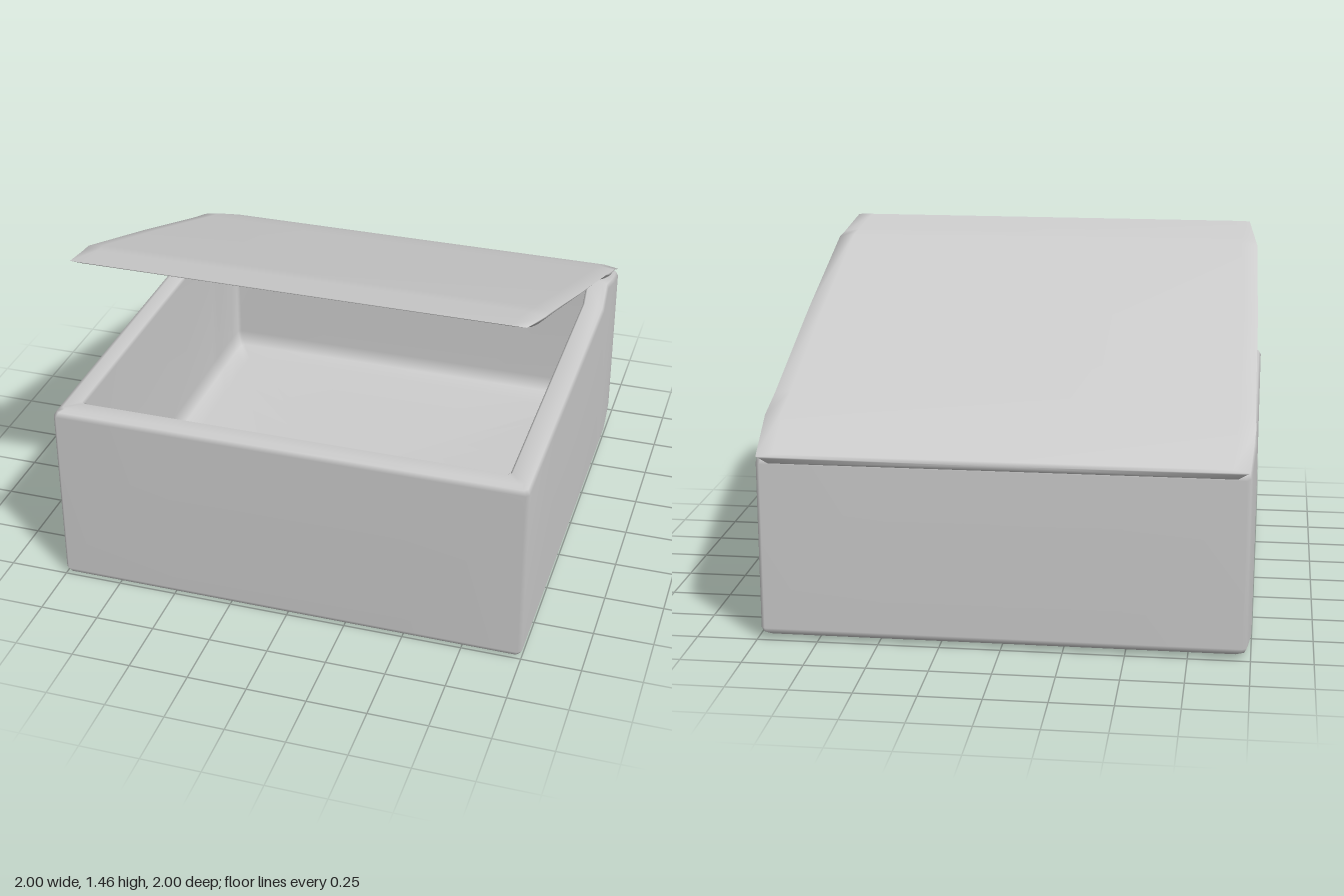
import * as THREE from 'three';

// Skins a stack of closed rings with smooth normals
function loft(rings) {
  const n = rings[0].length, index = [];
  for (let k = 0; k < rings.length - 1; k++) {
    for (let i = 0; i < n; i++) {
      const a = k * n + i, b = k * n + (i + 1) % n;
      index.push(a, b, b + n, a, b + n, a + n);
    }
  }
  const geo = new THREE.BufferGeometry();
  geo.setAttribute('position', new THREE.Float32BufferAttribute(rings.flat(2), 3));
  geo.setIndex(index);
  geo.computeVertexNormals();
  return geo;
}

// Plan of the box: a square with tiny corner chamfers
function squarePlan() {
  const zs = [0.985, 0.5, 0, -0.54, -0.62, -0.77, -0.9, -0.985];
  const xs = [0.985, 0.5, 0, -0.5, -0.985];
  return [
    ...zs.map(z => [1, z]),
    ...xs.map(x => [x, -1]),
    ...[...zs].reverse().map(z => [-1, z]),
    ...[...xs].reverse().map(x => [x, 1]),
  ];
}

// Rim climbs near the hinge to meet the lid, then falls to the back edge
function rimRise(z) {
  return z > -0.54 ? 0 : Math.min(-0.54 - z, 0.08 - 0.33 * (-0.62 - z));
}

function bodyRing(h, y) {
  return squarePlan().map(([px, pz]) => {
    let x = px * h, py = y;
    const z = Math.abs(pz) < 0.8 && h > 0.85 ? pz : pz * h;
    const s = Math.max(0, (-z - 0.8) / 0.2);
    x *= 1 - 0.018 * s;               // back narrows slightly
    if (y > 0.7) py += rimRise(z);
    if (y < 0.05) py += 0.02 * s;     // rounded lower back edge
    return [x, py, z];
  });
}

// Lid cross-section: flat top, undercut sides, shallow recess below
function lidRing([z, top, bot, w, recess]) {
  const half = [
    [0.9 * w, bot + recess], [0.95 * w, bot],
    [w - 0.015, (top + bot) / 2], [w, top - Math.min(0.012, (top - bot) / 3)],
    [0.93 * w, top],
  ];
  const right = half.map(([x, y]) => [x, y, z]);
  const left = [...half].reverse().map(([x, y]) => [-x, y, z]);
  return [...right, [0, top, z], ...left];
}

export function createModel() {
  const model = new THREE.Group();
  const material = new THREE.MeshStandardMaterial({ color: 0xcccccc });
  const add = (name, geo) => {
    const mesh = new THREE.Mesh(geo, material);
    mesh.name = name;
    model.add(mesh);
  };

  // Box: underside, outer wall, rim, inner wall, filleted floor
  const bodyProfile = [
    [0, 0], [0.85, 0], [0.97, 0], [0.99, 0.01], [1, 0.03],
    [1, 0.79], [0.99, 0.81], [0.97, 0.82], [0.91, 0.82],
    [0.9, 0.81], [0.9, 0.19], [0.87, 0.13], [0.8, 0.1], [0, 0.1],
  ];
  add('box', loft(bodyProfile.map(([h, y]) => bodyRing(h, y))));

  // Lid stations from hinge to front lip: z, top, bottom, half width, recess
  const stations = [
    [-1, 0.788, 0.75, 0.98, 0],
    [-0.77, 0.9, 0.82, 0.995, 0],
    [-0.62, 0.953, 0.905, 0.99, 0.01],
    [0, 1.182, 1.121, 0.985, 0.025],
    [0.6, 1.4, 1.328, 0.97, 0.03],
    [0.67, 1.415, 1.352, 0.96, 0.03],
    [0.863, 1.456, 1.452, 0.93, 0],
  ];
  const rings = stations.map(lidRing);
  const cap = ([z, top, bot]) => rings[0].map(() => [0, (top + bot) / 2, z]);
  add('lid', loft([cap(stations[0]), ...rings, cap(stations[stations.length - 1])]));

  return model;
}
